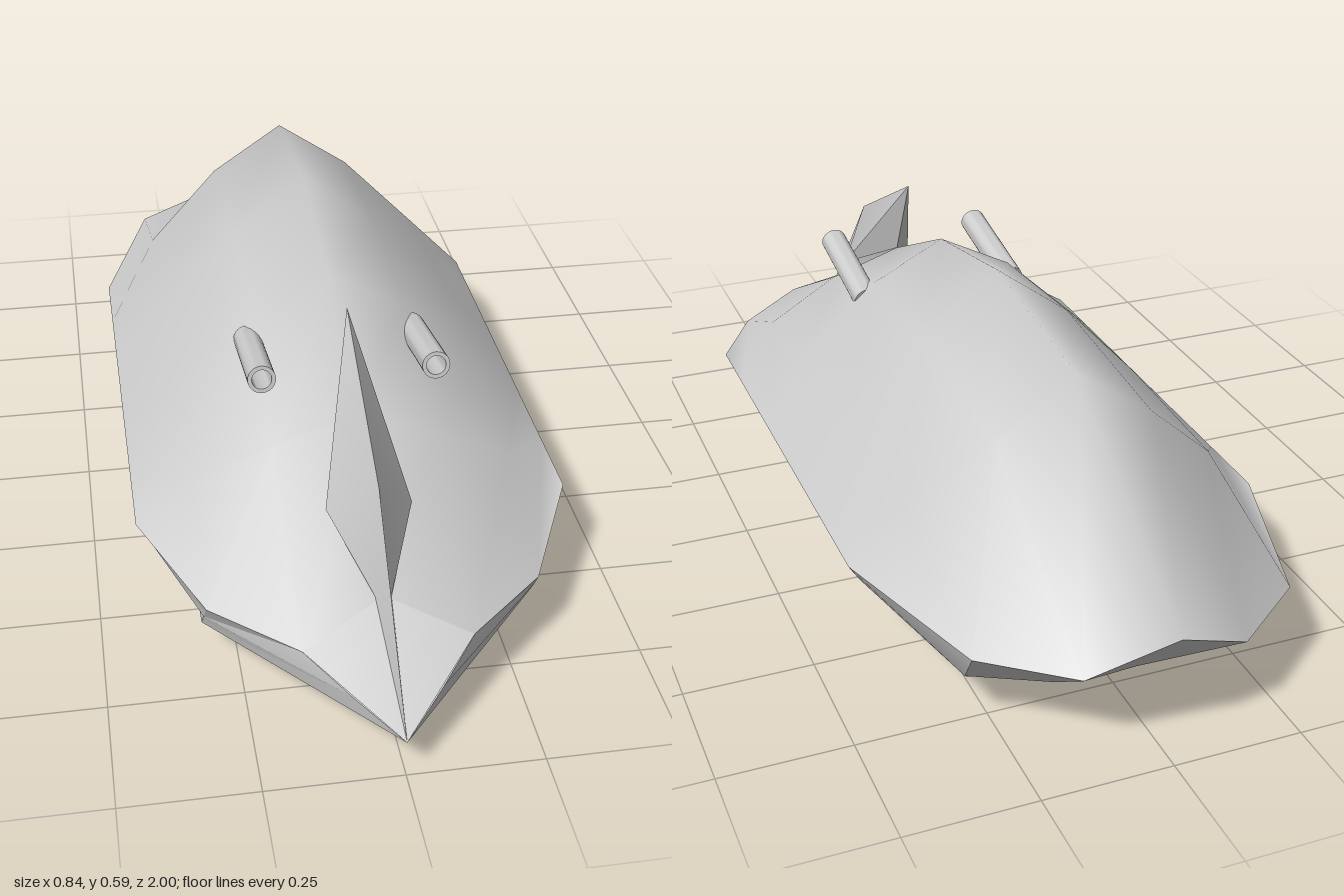
import * as THREE from 'three';
import { toCreasedNormals } from 'three/addons/utils/BufferGeometryUtils.js';

const grey = new THREE.MeshStandardMaterial({ color: 0xcccccc, side: THREE.DoubleSide });

function add(parent, name, geometry) {
  const mesh = new THREE.Mesh(geometry, grey);
  mesh.name = name;
  parent.add(mesh);
  return mesh;
}

// Triangles given for the +x half, repeated mirrored on the -x half
function mirroredGeometry(triangles, crease) {
  const pos = [];
  for (const [a, b, c] of triangles) {
    pos.push(...a, ...b, ...c);
    for (const p of [a, c, b]) pos.push(-p[0], p[1], p[2]);
  }
  const g = new THREE.BufferGeometry();
  g.setAttribute('position', new THREE.Float32BufferAttribute(pos, 3));
  g.computeVertexNormals();
  return toCreasedNormals(g, crease);
}

// Smooth upper shell: lengthwise lines at fixed x, each a list of [z, y] from front to rear
function deckGeometry() {
  const half = [
    { x: 0, line: [[0.77, 0.21], [0.46, 0.39], [0.16, 0.53], [-0.16, 0.59], [-0.55, 0.545], [-1, 0.265]] },
    { x: 0.155, line: [[0.83, 0.152], [0.46, 0.34], [0.16, 0.45], [-0.16, 0.475], [-0.55, 0.44], [-0.95, 0.187]] },
    { x: 0.31, line: [[0.69, 0.152], [0.44, 0.26], [0.16, 0.305], [-0.16, 0.31], [-0.5, 0.295], [-0.83, 0.187]] },
    { x: 0.42, line: [[0.46, 0.187], [0.3, 0.187], [0.1, 0.187], [-0.12, 0.187], [-0.32, 0.187], [-0.48, 0.187]] },
  ];
  const lines = [...half.slice(1).reverse().map(l => ({ x: -l.x, line: l.line })), ...half];
  const rows = half[0].line.length, pos = [], index = [];
  lines.forEach(({ x, line }, i) => {
    line.forEach(([z, y], j) => {
      pos.push(x, y, z);
      if (i === lines.length - 1 || j === rows - 1) return;
      const a = i * rows + j, b = a + rows;
      index.push(a, b, b + 1, a, b + 1, a + 1);
    });
  });
  const g = new THREE.BufferGeometry();
  g.setAttribute('position', new THREE.Float32BufferAttribute(pos, 3));
  g.setIndex(index);
  g.computeVertexNormals();
  return g;
}

export function createModel() {
  const model = new THREE.Group();
  model.name = 'armouredVehicle';
  const floorY = 0.075;
  const tip = [0, floorY, 1];

  add(model, 'upperHull', deckGeometry());

  // Lower hull: rim, chamfer and floor edge, front to rear
  const rim = [[0.155, 0.152, 0.83], [0.31, 0.152, 0.69], [0.42, 0.187, 0.46], [0.42, 0.187, -0.48],
    [0.31, 0.187, -0.83], [0.155, 0.187, -0.95], [0, 0.265, -1]];
  const chamfer = [[0.08, 0.113, 0.915], [0.313, 0.113, 0.66], [0.4, 0.155, 0.46], [0.4, 0.155, -0.48],
    [0.3, 0.11, -0.77], [0.155, 0.1, -0.83], [0, 0.1, -0.84]];
  const floor = [tip, [0.315, floorY, 0.63], [0.315, floorY, 0.46], [0.315, floorY, -0.55],
    [0.28, floorY, -0.73], [0.155, floorY, -0.75], [0, floorY, -0.75]];
  const skirt = [];
  for (const [top, low] of [[rim, chamfer], [chamfer, floor]]) {
    for (let i = 0; i < top.length - 1; i++) {
      skirt.push([top[i], low[i], low[i + 1]], [top[i], low[i + 1], top[i + 1]]);
    }
  }
  add(model, 'lowerHull', mirroredGeometry(skirt, 0.5));

  // Prow plates above the nose
  const deckNose = [0, 0.21, 0.77];
  add(model, 'prow', mirroredGeometry([[deckNose, tip, rim[0]]], 0.3));

  // Ram fin rising over the nose
  const finTop = [0, 0.575, 0.37], finBack = [0, 0.39, 0.46], finEdge = [0, 0.4, 0.71];
  const finWide = [0.08, 0.3, 0.62], finNeck = [0.015, 0.21, 0.77];
  add(model, 'noseFin', mirroredGeometry([
    [finTop, finEdge, finWide], [finTop, finWide, finBack],
    [finEdge, finNeck, finWide], [finEdge, tip, finNeck],
  ], 0.5));

  // Floor with an opening for the running gear
  const rect = (C, x, front, rear) => {
    const s = new C();
    s.moveTo(-x, rear).lineTo(x, rear).lineTo(x, front).lineTo(-x, front).closePath();
    return s;
  };
  const outline = [...floor, ...floor.slice(1, -1).reverse().map(([x, y, z]) => [-x, y, z])];
  const floorShape = new THREE.Shape(outline.map(([x, , z]) => new THREE.Vector2(x, z)));
  floorShape.holes.push(rect(THREE.Path, 0.275, 0.63, -0.7));
  add(model, 'floor', new THREE.ShapeGeometry(floorShape).rotateX(Math.PI / 2).translate(0, floorY, 0));

  // Walls and ceiling of the wheel well
  const wellTop = 0.145;
  const frame = rect(THREE.Shape, 0.285, 0.64, -0.71);
  frame.holes.push(rect(THREE.Path, 0.275, 0.63, -0.7));
  add(model, 'wheelWellWalls', new THREE.ExtrudeGeometry(frame, { depth: wellTop - floorY - 0.001, bevelEnabled: false })
    .rotateX(Math.PI / 2).translate(0, wellTop, 0));
  add(model, 'wheelWellCeiling', new THREE.ShapeGeometry(rect(THREE.Shape, 0.28, 0.635, -0.705))
    .rotateX(Math.PI / 2).translate(0, wellTop, 0));

  // Road wheels and hollow gun barrels on both sides
  const wheel = toCreasedNormals(new THREE.CylinderGeometry(0.07, 0.07, 0.027, 32).rotateZ(Math.PI / 2), 0.6);
  const tilt = 0.2, length = 0.24;
  const barrel = toCreasedNormals(new THREE.LatheGeometry([
    [0, -length], [0.027, -length], [0.027, 0], [0.019, 0], [0.019, -0.16], [0, -0.16],
  ].map(p => new THREE.Vector2(...p)), 24), 0.6);
  for (const side of [1, -1]) {
    const label = side > 0 ? 'left' : 'right';
    for (let i = 0; i < 9; i++) {
      add(model, `${label}Wheel${i + 1}`, wheel).position.set(side * 0.244, 0.07, 0.556 - i * 0.1395);
    }
    const gun = add(model, `${label}GunBarrel`, barrel);
    gun.position.set(side * 0.167, 0.455, 0.407);
    gun.rotation.x = Math.PI / 2 - tilt;
  }
  return model;
}
